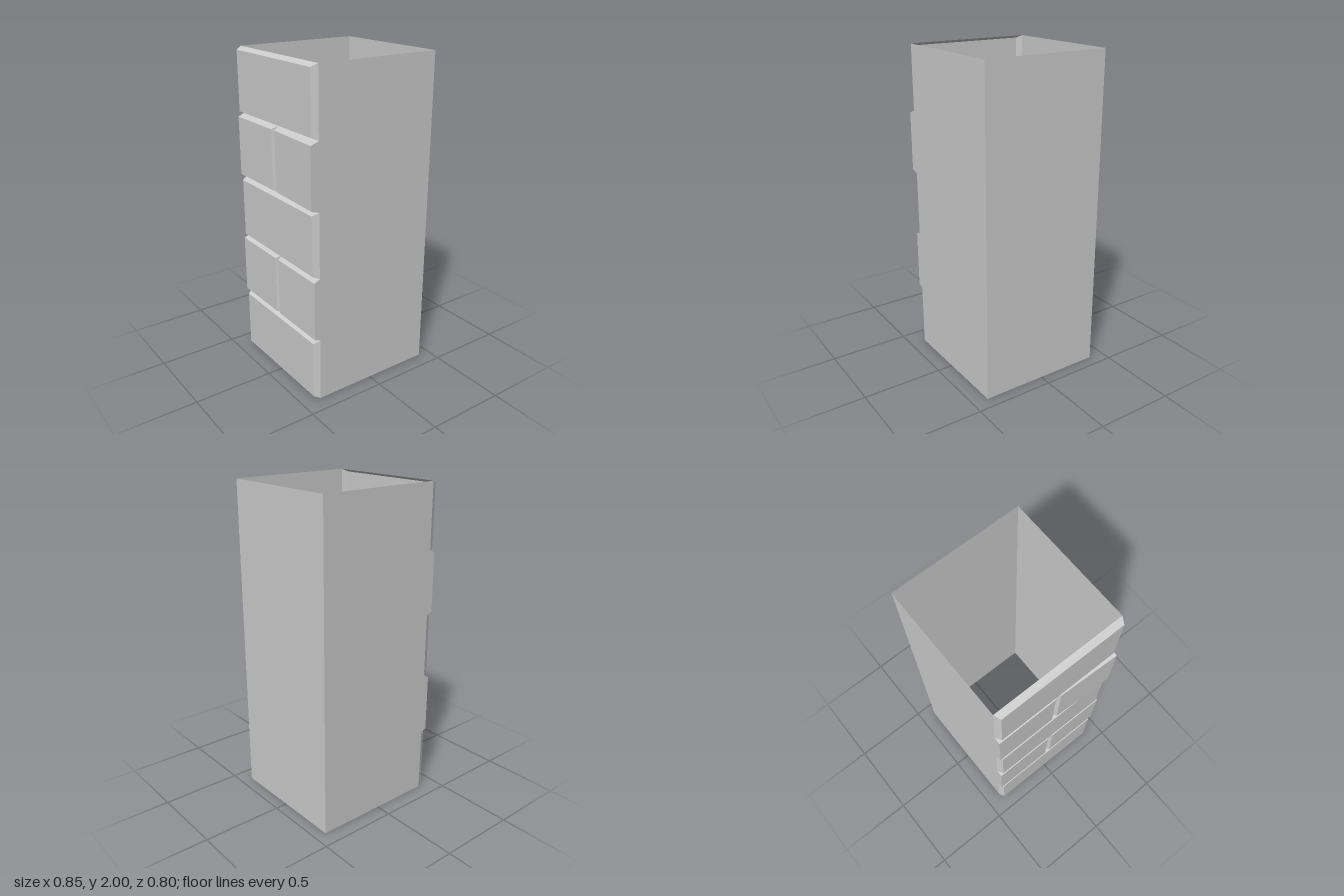
import * as THREE from 'three';

const ROOT_X = -0.375, FACE_X = -0.413, RIGHT_X = 0.425;
const HALF_D = 0.4, HEIGHT = 2, ROW_H = 0.4, BEVEL = 0.018;

const material = new THREE.MeshStandardMaterial({
  color: 0xcccccc, flatShading: true, side: THREE.DoubleSide,
});

// Thin flat wall panel
function wall(name, width, x, z, turn) {
  const mesh = new THREE.Mesh(new THREE.PlaneGeometry(width, HEIGHT), material);
  mesh.name = name;
  mesh.position.set(x, HEIGHT / 2, z);
  mesh.rotation.y = turn;
  return mesh;
}

// Hollow bevelled brick facing -x: root rectangle joined to a smaller outer face.
// bevelBack / bevelFront inset its two ends; frontX lets the front end stick out.
function brick(name, y, zBack, zFront, bevelBack, bevelFront, frontX = FACE_X) {
  const top = y + ROW_H;
  const ob = zBack + bevelBack, of = zFront - bevelFront;
  const positions = [
    ROOT_X, y, zBack, ROOT_X, y, zFront, ROOT_X, top, zFront, ROOT_X, top, zBack,
    FACE_X, y + BEVEL, ob, frontX, y + BEVEL, of,
    frontX, top - BEVEL, of, FACE_X, top - BEVEL, ob,
  ];
  const index = [4, 5, 6, 4, 6, 7]; // outer face
  for (let i = 0; i < 4; i++) { // four sides
    const j = (i + 1) % 4;
    index.push(i, j, j + 4, i, j + 4, i + 4);
  }
  const indexed = new THREE.BufferGeometry();
  indexed.setAttribute('position', new THREE.Float32BufferAttribute(positions, 3));
  indexed.setIndex(index);
  const geometry = indexed.toNonIndexed();
  geometry.computeVertexNormals();
  const mesh = new THREE.Mesh(geometry, material);
  mesh.name = name;
  return mesh;
}

export function createModel() {
  const model = new THREE.Group();
  model.name = 'brickPillar';

  // Plain walls; top and bottom stay open
  const width = RIGHT_X - ROOT_X, midX = (RIGHT_X + ROOT_X) / 2;
  model.add(
    wall('frontWall', width, midX, HALF_D, 0),
    wall('backWall', width, midX, -HALF_D, Math.PI),
    wall('sideWall', HALF_D * 2, RIGHT_X, 0, Math.PI / 2),
  );

  // Brick courses: whole bricks alternate with pairs of half bricks
  const bricks = new THREE.Group();
  bricks.name = 'brickCourses';
  for (let row = 0; row < 5; row++) {
    const y = row * ROW_H;
    if (row % 2 === 0) {
      bricks.add(brick('wholeBrick', y, -HALF_D, HALF_D, BEVEL, BEVEL));
    } else {
      // The upper front half brick is knocked slightly outward
      const frontX = row === 3 ? -0.427 : FACE_X;
      bricks.add(
        brick('backHalfBrick', y, -HALF_D, 0, 0, BEVEL),
        brick('frontHalfBrick', y, 0, HALF_D, BEVEL, 0, frontX),
      );
    }
  }
  model.add(bricks);
  return model;
}
